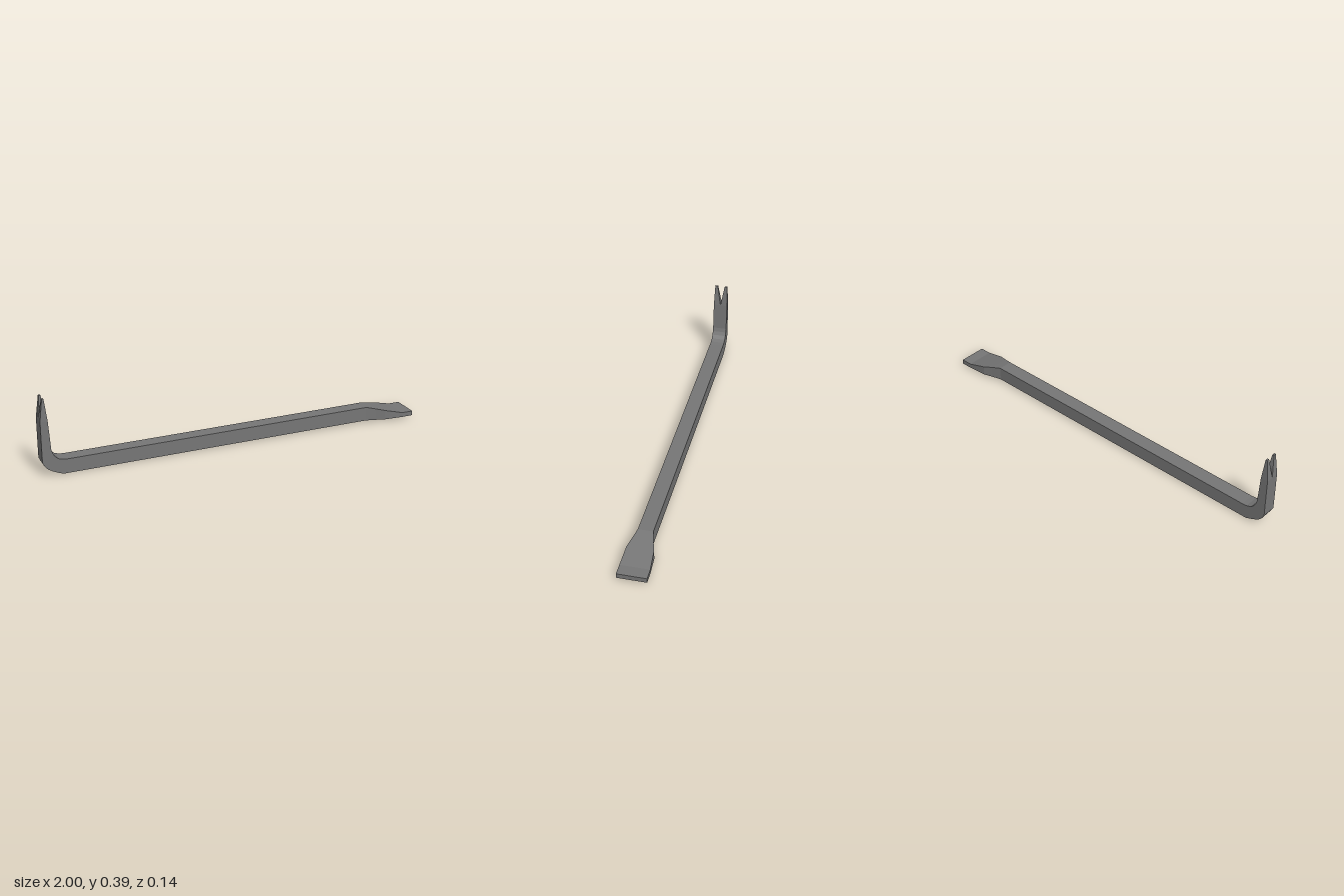
import * as THREE from 'three';

// Lofts four-sided sections [outerX, outerY, innerX, innerY, zBack, zFront]
function loft(sections, capStart, capEnd) {
  const rings = sections.map(([ox, oy, ix, iy, z0, z1]) => [
    [ox, oy, z1], [ix, iy, z1], [ix, iy, z0], [ox, oy, z0],
  ]);
  const pos = [];
  const quad = (a, b, c, d) => [a, b, c, a, c, d].forEach((p) => pos.push(...p));
  for (let s = 0; s < rings.length - 1; s++) {
    const a = rings[s], b = rings[s + 1];
    for (let i = 0; i < 4; i++) {
      const j = (i + 1) % 4;
      quad(a[i], a[j], b[j], b[i]);
    }
  }
  const first = rings[0], last = rings[rings.length - 1];
  if (capStart) quad(first[0], first[3], first[2], first[1]);
  if (capEnd) quad(...last);
  const geo = new THREE.BufferGeometry();
  geo.setAttribute('position', new THREE.Float32BufferAttribute(pos, 3));
  geo.computeVertexNormals();
  return geo;
}

export function createModel() {
  const group = new THREE.Group();
  group.name = 'pryBar';
  const steel = new THREE.MeshStandardMaterial({ color: 0x767676, flatShading: true });
  steel.name = 'darkSteel';

  const add = (name, geo) => {
    const mesh = new THREE.Mesh(geo, steel);
    mesh.name = name;
    group.add(mesh);
  };
  // Symmetric section
  const sym = (ox, oy, ix, iy, w) => [ox, oy, ix, iy, -w, w];
  const W = 0.037;

  // Flared flat chisel
  add('chiselBlade', loft([
    sym(1, 0.011, 1, 0.035, 0.072),
    sym(0.94, 0.0105, 0.94, 0.035, 0.072),
    sym(0.84, 0.01, 0.84, 0.06, 0.065),
    sym(0.79, 0.0097, 0.79, 0.072, 0.05),
    sym(0.74, 0.0095, 0.74, 0.083, W),
  ], true, false));

  // Straight shaft
  add('shaft', loft([
    sym(0.74, 0.0095, 0.74, 0.083, W),
    sym(-0.9, 0, -0.875, 0.073, W),
  ], false, false));

  // Bend and upright neck
  add('bentNeck', loft([
    sym(-0.9, 0, -0.875, 0.073, W),
    sym(-0.925, 0.009, -0.9, 0.075, W),
    sym(-0.95, 0.02, -0.922, 0.082, W),
    sym(-0.975, 0.035, -0.938, 0.097, W),
    sym(-0.99, 0.052, -0.948, 0.115, W),
    sym(-1, 0.072, -0.954, 0.135, W),
    sym(-1, 0.28, -0.963, 0.28, W),
  ], false, false));

  // Pair of tapered claw tines with a V slot between
  for (const [name, side] of [['frontTine', 1], ['backTine', -1]]) {
    const sec = (ox, ix, y, inner, outer) =>
      [ox, y, ix, y, ...(side > 0 ? [inner, outer] : [-outer, -inner])];
    add(name, loft([
      sec(-1, -0.963, 0.28, 0, W),
      sec(-0.985, -0.976, 0.392, 0.019, 0.033),
    ], false, true));
  }
  return group;
}
